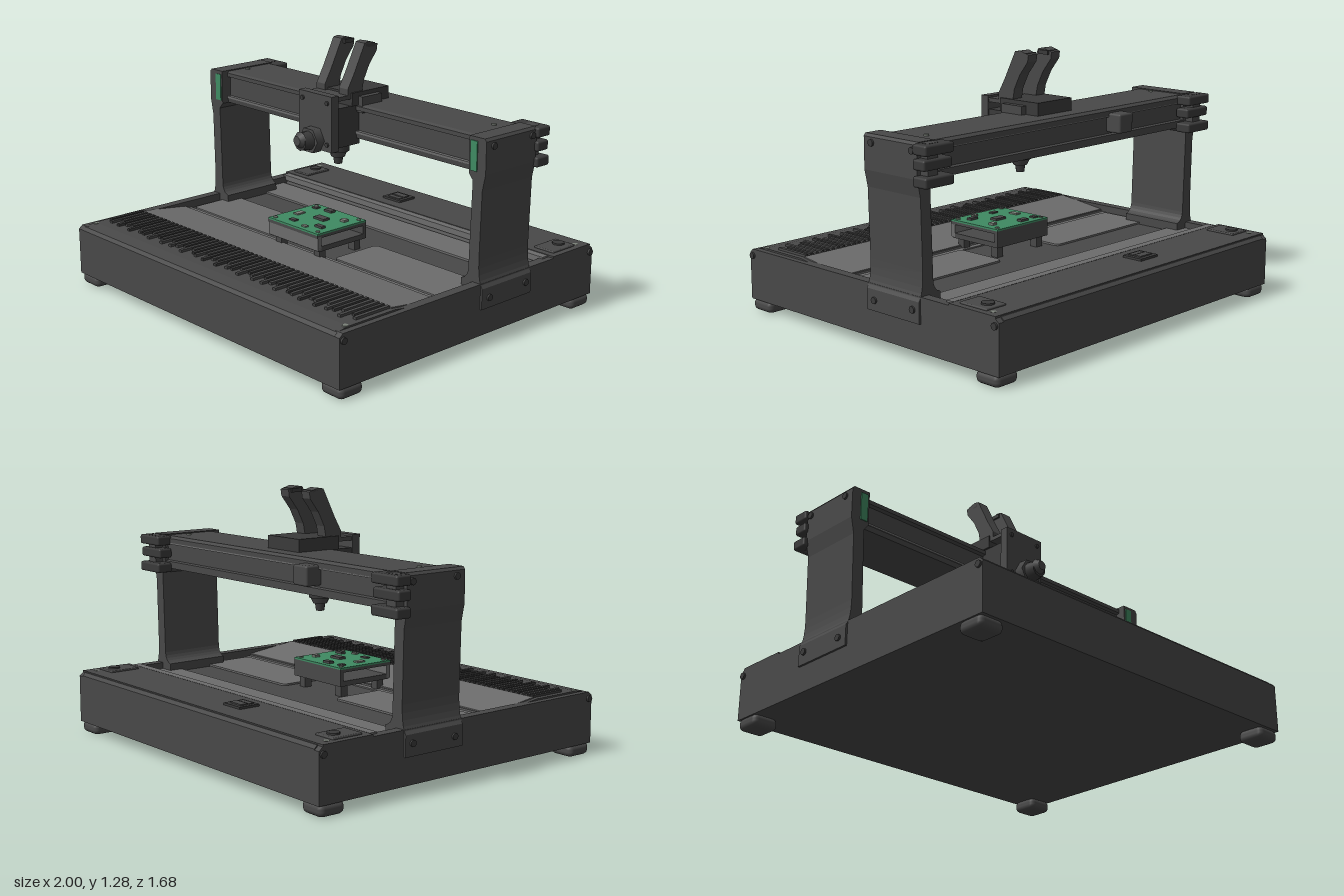
import * as THREE from 'three';
import { RoundedBoxGeometry } from 'three/addons/geometries/RoundedBoxGeometry.js';

const mat = (name, color) => {
  const m = new THREE.MeshStandardMaterial({ color });
  m.name = name;
  return m;
};

export function createModel() {
  const root = new THREE.Group();
  root.name = 'gantryMachine';
  const dark = mat('dark grey', 0x484848);
  const black = mat('charcoal', 0x3a3a3a);
  const light = mat('bed grey', 0x6c6c6c);
  const green = mat('board green', 0x3f8a62);
  const steel = mat('pad grey', 0x7a8078);

  const add = (name, geo, m, parent = root) => {
    const mesh = new THREE.Mesh(geo, m);
    mesh.name = name;
    parent.add(mesh);
    return mesh;
  };
  // Box given by its limits on each axis
  const box = (name, m, x0, x1, y0, y1, z0, z1, r = 0) => {
    const s = [x1 - x0, y1 - y0, z1 - z0];
    const g = r ? new RoundedBoxGeometry(...s, 2, r) : new THREE.BoxGeometry(...s);
    const mesh = add(name, g, m);
    mesh.position.set((x0 + x1) / 2, (y0 + y1) / 2, (z0 + z1) / 2);
    return mesh;
  };
  // Side profile of [z, y] points extruded along x
  const profileX = (name, m, pts, x0, x1) => {
    const s = new THREE.Shape(pts.map(([z, y]) => new THREE.Vector2(-z, y)));
    const g = new THREE.ExtrudeGeometry(s, { depth: x1 - x0, bevelEnabled: false });
    g.rotateY(Math.PI / 2).translate(x0, 0, 0);
    return add(name, g, m);
  };
  // Cylinder along a chosen axis
  const rod = (name, m, r0, r1, len, axis, x, y, z, n = 12) => {
    const g = new THREE.CylinderGeometry(r0, r1, len, n);
    if (axis === 'x') g.rotateZ(Math.PI / 2);
    if (axis === 'z') g.rotateX(Math.PI / 2);
    const mesh = add(name, g, m);
    mesh.position.set(x, y, z);
    return mesh;
  };

  // Base body with the bed hollowed between front and rear decks
  profileX('base', dark, [[-0.84, 0.06], [0.84, 0.06], [0.84, 0.295], [0.825, 0.31], [0.76, 0.32], [0.49, 0.32],
    [0.2, 0.283], [0.19, 0.27], [-0.5, 0.27], [-0.545, 0.315], [-0.825, 0.315], [-0.84, 0.3]], -0.94, 0.94);
  for (const s of [-1, 1]) {
    const a = s < 0 ? -0.97 : 0.92, b = s < 0 ? -0.92 : 0.97;
    profileX('sideRail', dark, [[-0.84, 0.06], [0.84, 0.06], [0.84, 0.295], [0.82, 0.312], [-0.82, 0.312], [-0.84, 0.295]], a, b);
    for (const z of [-0.765, 0.765]) {
      box('foot', dark, s * 0.905 - 0.067, s * 0.905 + 0.067, 0.005, 0.065, z - 0.068, z + 0.068, 0.025);
      rod('cornerScrew', black, 0.016, 0.016, 0.02, 'x', s * 0.97, 0.28, z * 1.07);
      rod('deckScrew', steel, 0.014, 0.014, 0.008, 'y', s * 0.925, 0.318, z);
    }
  }

  // Light bed panels
  profileX('frontBedPanel', light, [[0.487, 0.3], [0.487, 0.325], [0.205, 0.289], [0.205, 0.27]].reverse(), -0.92, 0.92);
  const panel = (name, x0, x1, z0, z1) => {
    const s = new THREE.Shape(), r = 0.03;
    s.moveTo(x0 + r, z0).lineTo(x1 - r, z0).quadraticCurveTo(x1, z0, x1, z0 + r);
    s.lineTo(x1, z1 - r).quadraticCurveTo(x1, z1, x1 - r, z1);
    s.lineTo(x0 + r, z1).quadraticCurveTo(x0, z1, x0, z1 - r);
    s.lineTo(x0, z0 + r).quadraticCurveTo(x0, z0, x0 + r, z0);
    const g = new THREE.ExtrudeGeometry(s, { depth: 0.009, bevelEnabled: false });
    g.rotateX(Math.PI / 2).translate(0, 0.281, 0);
    add(name, g, light);
  };
  panel('leftBedPanel', 0.2, 0.89, -0.12, 0.16);
  panel('rightBedPanel', -0.9, -0.2, -0.12, 0.16);
  box('bedEdge', light, -0.92, 0.92, 0.265, 0.276, 0.165, 0.2);
  box('rearBedPanel', light, -0.92, 0.92, 0.268, 0.28, -0.485, -0.3);
  box('rearBedRail', light, -0.94, 0.94, 0.29, 0.32, -0.54, -0.5);

  // Ribbed vent on the front deck
  for (let i = 0; i < 56; i++) {
    const x = -0.905 + i * 0.0329;
    const end = 0.69 + 0.03 * Math.sin(i * 2.4);
    box('ventRib', i % 3 ? dark : black, x - 0.009, x + 0.009, 0.315, 0.332, 0.49, end);
  }

  // Rear deck fittings
  box('rearDeck', dark, -0.97, 0.97, 0.305, 0.321, -0.82, -0.545);
  box('switchFrame', black, -0.245, -0.12, 0.318, 0.332, -0.715, -0.605);
  box('switchRocker', dark, -0.225, -0.14, 0.33, 0.338, -0.695, -0.655);
  box('switchRocker', dark, -0.225, -0.14, 0.33, 0.336, -0.648, -0.62);
  for (const s of [-1, 1]) {
    box('cornerPlate', dark, s * 0.88 - 0.06, s * 0.88 + 0.06, 0.318, 0.33, -0.74, -0.58, 0.005);
    rod('cornerPlateStud', black, 0.03, 0.03, 0.012, 'y', s * 0.88, 0.332, -0.69);
  }

  // Gantry columns, slightly waisted with a foot fillet
  const column = new THREE.Shape();
  column.moveTo(0.93, 0.19).lineTo(0.98, 0.19).lineTo(0.98, 0.29);
  column.quadraticCurveTo(0.955, 0.32, 0.955, 0.42).lineTo(0.963, 0.75);
  column.lineTo(0.98, 0.83).lineTo(0.98, 0.98).lineTo(0.97, 0.993).lineTo(0.88, 0.993);
  column.lineTo(0.88, 0.82).lineTo(0.905, 0.79).lineTo(0.893, 0.37);
  column.quadraticCurveTo(0.89, 0.325, 0.85, 0.315).lineTo(0.85, 0.27).lineTo(0.93, 0.27);
  const columnGeo = new THREE.ExtrudeGeometry(column, { depth: 0.34, bevelEnabled: false, curveSegments: 5 });
  columnGeo.translate(0, 0, -0.37);
  for (const s of [-1, 1]) {
    const c = add('column', columnGeo, dark);
    if (s < 0) {
      c.rotation.y = Math.PI;
      c.position.z = -0.4;
    }
    for (const [y, z] of [[0.955, -0.08], [0.955, -0.34], [0.25, -0.33], [0.24, -0.08]])
      rod('columnScrew', black, 0.016, 0.016, 0.014, 'x', s * 0.982, y, z);
    box('greenStrip', green, s * 0.91 - 0.02, s * 0.91 + 0.02, 0.835, 0.975, -0.034, -0.025);
    // Stacked cable clamps behind the column
    for (const [i, y] of [0.825, 0.9, 0.965].entries()) {
      box('clamp', black, s * 0.915 - 0.085, s * 0.915 + 0.085, y - 0.024, y + 0.024, -0.445 + 0.01 * (i % 2), -0.36, 0.01);
    }
    box('clampBack', dark, s * 0.93 - 0.03, s * 0.93 + 0.03, 0.8, 0.99, -0.415, -0.36);
  }

  // Cross beam with lips along the front and back
  profileX('beam', dark, [[-0.365, 0.82], [-0.07, 0.82], [-0.065, 0.85], [-0.085, 0.855], [-0.085, 0.955], [-0.065, 0.96],
    [-0.065, 0.98], [-0.08, 0.988], [-0.355, 0.988], [-0.37, 0.975], [-0.37, 0.95], [-0.35, 0.945], [-0.35, 0.86],
    [-0.365, 0.855]], -0.95, 0.95);
  box('beamRail', light, -0.88, 0.88, 0.845, 0.856, -0.08, -0.062);
  box('rearBeamRail', light, -0.88, 0.88, 0.945, 0.953, -0.37, -0.345);
  for (const x of [-0.85, 0.82]) rod('beamScrew', steel, 0.012, 0.012, 0.008, 'y', x, 0.991, x < 0 ? -0.18 : -0.26);
  box('rearCableBox', dark, -0.385, -0.285, 0.87, 0.965, -0.44, -0.35, 0.01);

  // Tool carriage
  box('carriageSlide', black, -0.11, 0.11, 0.79, 0.985, -0.09, 0.06);
  box('carriagePlate', dark, -0.12, 0.115, 0.775, 1.05, 0.055, 0.1);
  box('carriageCap', black, -0.12, 0.12, 0.985, 1.05, -0.275, -0.03);
  box('capBridge', dark, -0.11, 0.11, 1.02, 1.04, -0.04, 0.06);
  box('carriageGuard', dark, 0.11, 0.15, 0.95, 1.03, -0.2, -0.07);
  for (const x of [-0.09, 0.085])
    for (const y of [0.81, 1.015]) rod('plateScrew', black, 0.011, 0.011, 0.012, 'z', x, y, 0.102);

  // Front motor nose
  const hex = rod('noseCollar', dark, 0.066, 0.066, 0.05, 'z', 0, 0.825, 0.122, 6);
  hex.rotation.z = Math.PI / 6;
  rod('noseBody', black, 0.042, 0.05, 0.07, 'z', 0, 0.825, 0.165, 10);
  rod('noseTip', dark, 0.024, 0.042, 0.025, 'z', 0, 0.835, 0.208, 10);

  // Downward spindle
  rod('spindleBody', black, 0.06, 0.055, 0.06, 'y', 0, 0.77, -0.05, 14);
  rod('spindleCollet', dark, 0.05, 0.034, 0.035, 'y', 0, 0.728, -0.05, 10);
  rod('spindleTip', black, 0.026, 0.02, 0.04, 'y', 0, 0.695, -0.05, 10);

  // Twin raked arms with hooked tips
  const arm = [[-0.01, 1.02], [-0.01, 1.07], [-0.05, 1.14], [-0.12, 1.28], [-0.15, 1.285], [-0.205, 1.268],
    [-0.2, 1.235], [-0.15, 1.17], [-0.115, 1.1], [-0.1, 1.02]].reverse();
  profileX('rightArm', dark, arm, -0.112, -0.052);
  profileX('leftArm', dark, arm, 0.048, 0.11);
  box('armHook', black, -0.112, -0.04, 1.255, 1.275, -0.19, -0.13);
  box('armHook', black, 0.04, 0.11, 1.255, 1.275, -0.19, -0.13);

  // Work piece: open frame carrying a circuit board
  box('boardFrameBase', dark, -0.18, 0.18, 0.325, 0.35, -0.07, 0.24);
  box('boardFrameFront', light, -0.18, 0.18, 0.33, 0.4, 0.225, 0.248);
  box('boardFrameRear', dark, -0.18, 0.18, 0.33, 0.4, -0.07, -0.05);
  for (const x of [-0.14, 0.14])
    for (const z of [-0.03, 0.2]) box('frameLeg', dark, x - 0.02, x + 0.02, 0.27, 0.33, z - 0.02, z + 0.02);
  box('boardTray', dark, -0.18, 0.18, 0.393, 0.408, -0.07, 0.25);
  box('board', green, -0.18, 0.18, 0.408, 0.417, -0.07, 0.25);
  const chips = [[-0.12, 0.1, 0.03, 0.05], [0.11, 0.17, 0.05, 0.025], [-0.06, 0.19, 0.04, 0.025], [0.12, 0.02, 0.03, 0.03],
    [-0.13, -0.02, 0.03, 0.03], [0.02, 0.08, 0.07, 0.04], [0.05, 0.215, 0.03, 0.02], [-0.04, -0.03, 0.05, 0.03]];
  chips.forEach(([x, z, w, d], i) =>
    box('chip', i % 3 ? dark : steel, x - w / 2, x + w / 2, 0.415, 0.424 + 0.004 * (i % 2), z - d / 2, z + d / 2));
  for (const x of [-0.155, 0.155])
    for (const z of [-0.045, 0.225]) rod('boardPad', steel, 0.011, 0.011, 0.006, 'y', x, 0.419, z);

  return root;
}
